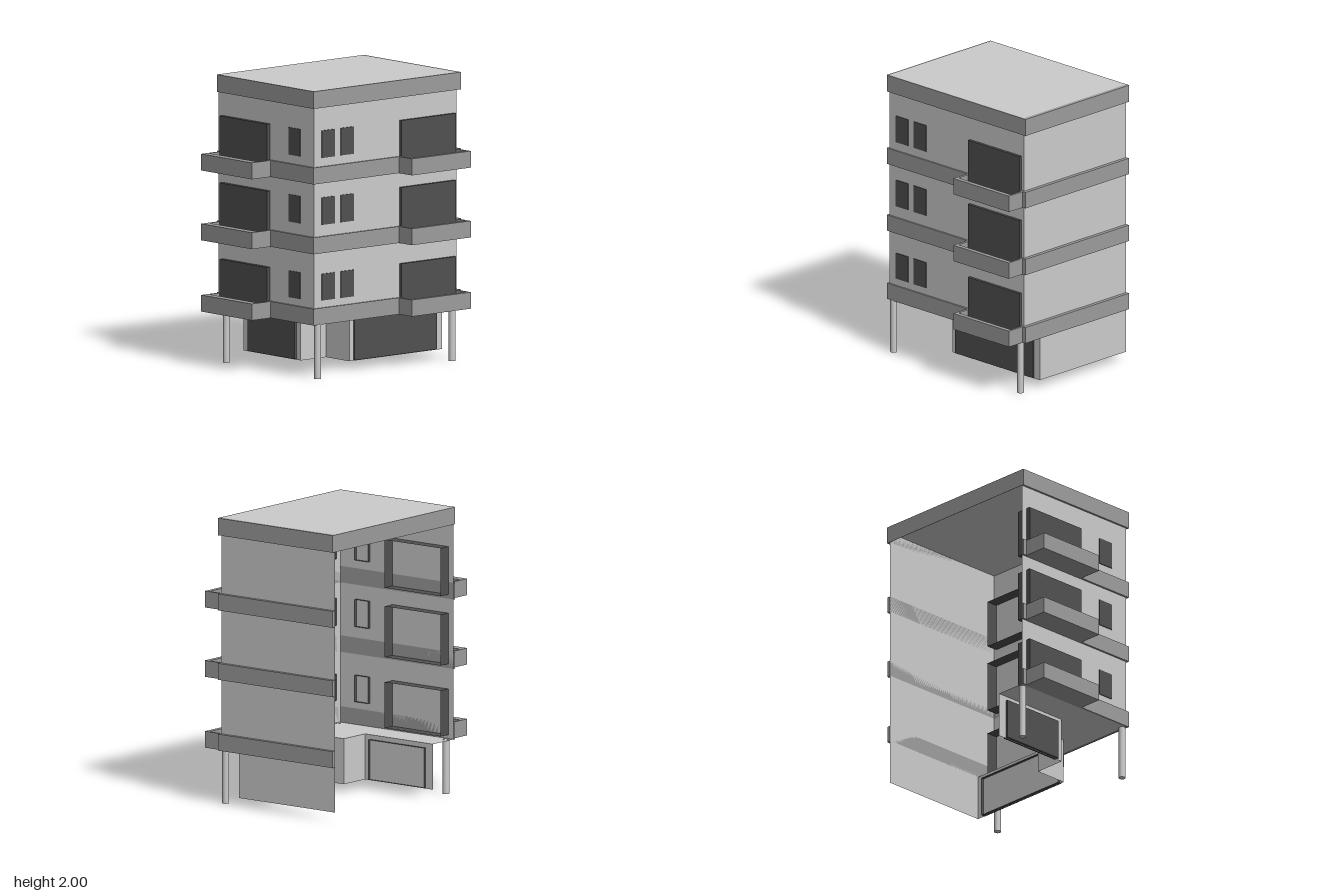
import * as THREE from 'three';

const mat = (color) => new THREE.MeshStandardMaterial({ color, side: THREE.DoubleSide });

export function createModel() {
  const model = new THREE.Group();
  const wallMat = mat(0xcccccc), bandMat = mat(0x9c9c9c), darkMat = mat(0x505050);

  const add = (name, geometry, material, parent = model) => {
    const mesh = new THREE.Mesh(geometry, material);
    mesh.name = name;
    parent.add(mesh);
    return mesh;
  };
  const box = (name, x0, x1, y0, y1, z0, z1, material, parent) => {
    const m = add(name, new THREE.BoxGeometry(x1 - x0, y1 - y0, z1 - z0), material, parent);
    m.position.set((x0 + x1) / 2, (y0 + y1) / 2, (z0 + z1) / 2);
    return m;
  };
  // thin upright walls following a plan path of [x, z] points
  const walls = (name, path, y0, y1) => {
    for (let i = 0; i + 1 < path.length; i++) {
      const [ax, az] = path[i], [bx, bz] = path[i + 1];
      const m = add(name, new THREE.PlaneGeometry(Math.hypot(bx - ax, bz - az), y1 - y0), wallMat);
      m.position.set((ax + bx) / 2, (y0 + y1) / 2, (az + bz) / 2);
      m.rotation.y = -Math.atan2(bz - az, bx - ax);
    }
  };
  // window: a shallow box without its rear face, pushed through the wall.
  // a..b runs along x on front walls and along z on side walls
  const windowBox = (name, side, wall, a, b, y0, y1, out, inside) => {
    const g = new THREE.BoxGeometry(b - a, y1 - y0, out + inside);
    g.setIndex(Array.from(g.index.array).slice(0, 30));
    g.clearGroups();
    const m = add(name, g, darkMat);
    const depth = wall + (out - inside) / 2, mid = (a + b) / 2;
    m.position.set(side ? depth : mid, (y0 + y1) / 2, side ? mid : depth);
    if (side) m.rotation.y = Math.PI / 2;
  };

  // plan limits of the upper storeys
  const L = -0.575, R = 0.425, F = 0.565, B = -0.73;
  const bandR = 0.437, bandF = 0.58, bandB = -0.757;

  // upper shell (open on one side) and recessed ground floor
  walls('upperWall', [[L, F], [R, F], [R, B], [L, B]], 0.375, 1.99);
  const ground = [[L, 0.34], [0.025, 0.34], [0.025, 0.11], [0.27, 0.11], [0.27, B], [L, B]];
  walls('groundWall', ground, 0.06, 0.378);

  // floor around the ground room
  const plan = [[L, F], [R, F], [R, B], [0.27, B], [0.27, 0.11], [0.025, 0.11], [0.025, 0.34], [L, 0.34]];
  const floorShape = new THREE.Shape(plan.map(([x, z]) => new THREE.Vector2(x, -z)));
  const floor = add('floor', new THREE.ShapeGeometry(floorShape), wallMat);
  floor.rotation.x = -Math.PI / 2;
  floor.position.y = 0.378;

  // horizontal band on three sides
  const band = (name, y0, y1) => {
    const g = new THREE.Group();
    g.name = name;
    model.add(g);
    box('frontBand', L, bandR, y0, y1, F, bandF, bandMat, g);
    box('sideBand', R, bandR, y0, y1, B, F, bandMat, g);
    box('backBand', L, bandR, y0, y1, bandB, B, bandMat, g);
    return g;
  };

  // roof slab and its fascia
  const roofBand = band('roofBand', 1.88, 2);
  box('openSideFascia', L - 0.002, L, 1.88, 2, bandB, bandF, bandMat, roofBand);
  box('roof', L, R, 1.95, 2, B, F, wallMat);

  // storeys: bottom of the band, bottom and top of the small windows
  const storeys = [[0.375, 0.54, 0.725], [0.87, 1.065, 1.255], [1.355, 1.53, 1.72]];
  for (const [y, sill, top] of storeys) {
    const y1 = y + 0.115, yf = y + 0.03;
    band('storeyBand', y, y1);

    // balconies: floor, thick front parapet, thin ends
    const fb = new THREE.Group();
    fb.name = 'frontBalcony';
    box('balconyFloor', -0.545, -0.015, y, yf, bandF, 0.75, bandMat, fb);
    box('parapet', -0.545, -0.015, yf, y1, 0.69, 0.75, bandMat, fb);
    box('parapetEnd', -0.545, -0.53, yf, y1, bandF, 0.69, bandMat, fb);
    box('parapetEnd', -0.032, -0.015, yf, y1, bandF, 0.69, bandMat, fb);
    const sb = new THREE.Group();
    sb.name = 'sideBalcony';
    box('balconyFloor', bandR, 0.573, y, yf, -0.73, -0.195, bandMat, sb);
    box('parapet', 0.54, 0.573, yf, y1, -0.73, -0.195, bandMat, sb);
    box('parapetEnd', bandR, 0.54, yf, y1, -0.73, -0.715, bandMat, sb);
    box('parapetEnd', bandR, 0.54, yf, y1, -0.213, -0.195, bandMat, sb);
    model.add(fb, sb);

    // large balcony windows and small windows
    windowBox('frontBalconyWindow', false, F, -0.53, -0.035, yf, top, 0.03, 0.085);
    windowBox('sideBalconyWindow', true, R, -0.708, -0.212, yf, top, 0.02, 0.085);
    windowBox('frontSmallWindow', false, F, 0.165, 0.283, sill, top, 0.006, 0.02);
    windowBox('sideSmallWindow', true, R, 0.383, 0.5, sill, top, 0.006, 0.02);
    windowBox('sideSmallWindow', true, R, 0.208, 0.328, sill, top, 0.006, 0.02);
  }

  // ground floor windows
  windowBox('groundFrontWindow', false, 0.34, -0.51, -0.02, 0.065, 0.345, 0.018, 0.02);
  windowBox('groundSideWindow', true, 0.27, -0.675, 0.075, 0.065, 0.345, 0.012, 0.02);

  // pillars
  for (const [x, z] of [[-0.535, 0.53], [0.42, 0.53], [0.42, -0.692]]) {
    const p = add('pillar', new THREE.CylinderGeometry(0.024, 0.024, 0.38, 16), wallMat);
    p.position.set(x, 0.19, z);
  }
  return model;
}
